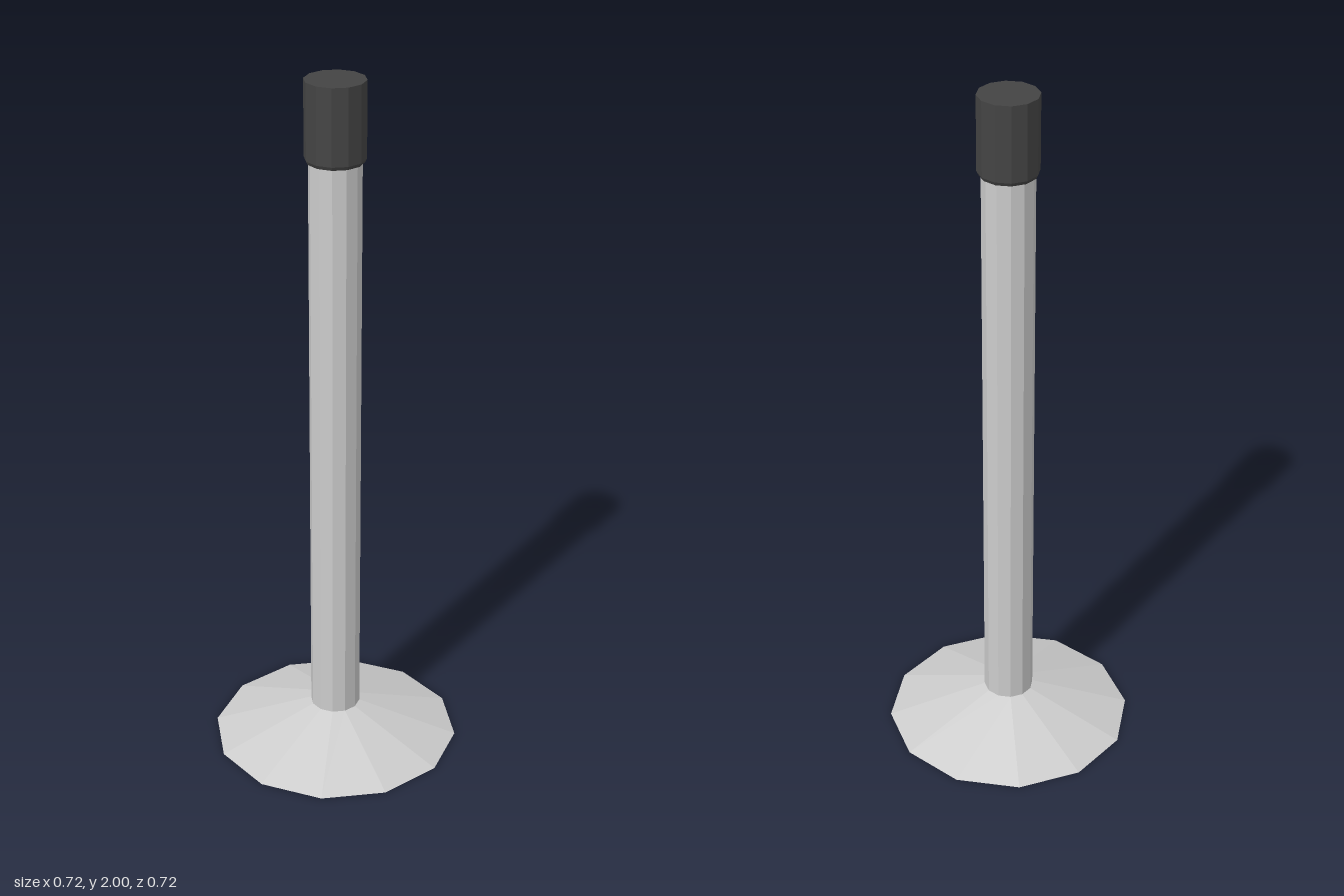
import * as THREE from 'three';

const SIDES = 12;

export function createModel() {
  const group = new THREE.Group();
  const grey = new THREE.MeshStandardMaterial({ color: 0xcccccc, flatShading: true });
  const dark = new THREE.MeshStandardMaterial({ color: 0x444444, flatShading: true });

  // Twelve-sided section between two heights
  function section(name, material, bottomRadius, topRadius, y0, y1, open = false) {
    const geometry = new THREE.CylinderGeometry(topRadius, bottomRadius, y1 - y0, SIDES, 1, open);
    geometry.translate(0, (y0 + y1) / 2, 0);
    const mesh = new THREE.Mesh(geometry, material);
    mesh.name = name;
    group.add(mesh);
  }

  // Flared foot, closed underneath
  section('base', grey, 0.358, 0.072, 0, 0.1);
  // Upright post
  section('post', grey, 0.072, 0.072, 0.1, 1.79, true);

  // Dark cap with a small bevel at its lower rim
  const profile = [[0, 1.78], [0.078, 1.78], [0.083, 1.79], [0.083, 2], [0, 2]];
  const cap = new THREE.Mesh(
    new THREE.LatheGeometry(profile.map(([r, y]) => new THREE.Vector2(r, y)), SIDES),
    dark
  );
  cap.name = 'cap';
  group.add(cap);

  return group;
}
